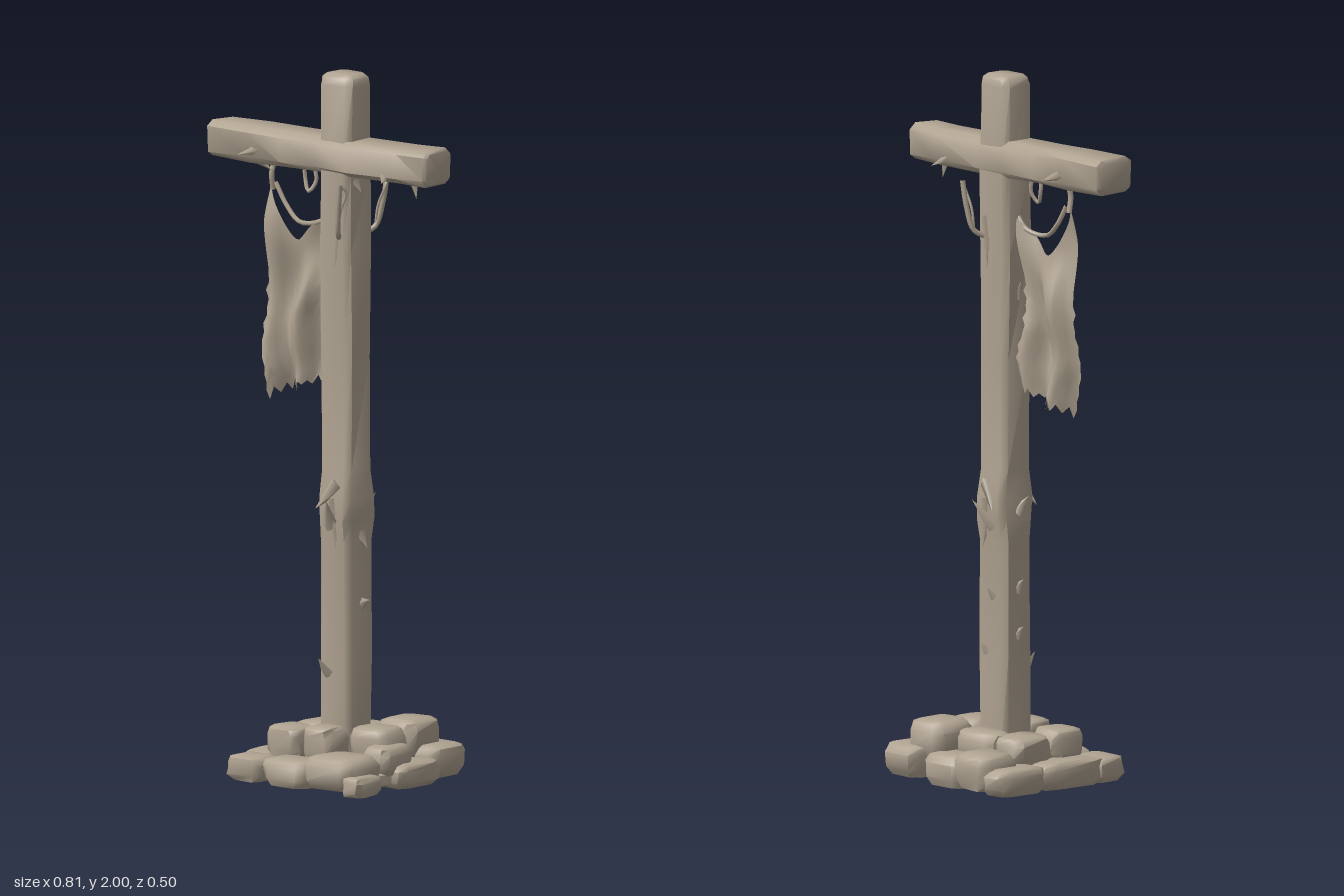
import * as THREE from 'three';
import { toCreasedNormals } from 'three/addons/utils/BufferGeometryUtils.js';

const wood = new THREE.MeshStandardMaterial({ color: 0xb0a391 });
const stone = new THREE.MeshStandardMaterial({ color: 0xb0a391 });
const fabric = new THREE.MeshStandardMaterial({ color: 0xb0a391, side: THREE.DoubleSide });

function seeded(seed) {
  return () => (seed = (seed * 16807) % 2147483647) / 2147483647;
}

// Skin of chamfered rectangles stacked along y; section = [y, centreX, centreZ, halfX, halfZ]
function loft(sections, { cut = 0.3, jitter = 0, seed = 7, crease = 0.9 } = {}) {
  const rnd = seeded(seed), k = 1 - cut, n = 8, pos = [], idx = [];
  const ring = [[1, -k], [1, k], [k, 1], [-k, 1], [-1, k], [-1, -k], [-k, -1], [k, -1]];
  for (const [y, cx, cz, hx, hz] of sections) {
    for (const [u, v] of ring) {
      const wobble = () => (rnd() - 0.5) * jitter;
      pos.push(cx + u * hx + wobble(), y, cz + v * hz + wobble());
    }
  }
  const last = sections.length - 1;
  for (let j = 0; j < last; j++) {
    for (let i = 0; i < n; i++) {
      const a = j * n + i, b = j * n + (i + 1) % n;
      idx.push(a, a + n, b, b, a + n, b + n);
    }
  }
  // End caps
  for (const [j, top] of [[0, false], [last, true]]) {
    const c = pos.length / 3, [y, cx, cz] = sections[j];
    pos.push(cx, y, cz);
    for (let i = 0; i < n; i++) {
      const a = j * n + i, b = j * n + (i + 1) % n;
      idx.push(c, top ? b : a, top ? a : b);
    }
  }
  const g = new THREE.BufferGeometry();
  g.setAttribute('position', new THREE.Float32BufferAttribute(pos, 3));
  g.setIndex(idx);
  return toCreasedNormals(g, crease);
}

function add(parent, name, geometry, material) {
  const mesh = new THREE.Mesh(geometry, material);
  mesh.name = name;
  parent.add(mesh);
  return mesh;
}

// Flattened pointed chip of wood running from one point to another
function splinter(parent, from, to, width) {
  const a = new THREE.Vector3(...from), b = new THREE.Vector3(...to), d = b.clone().sub(a);
  const m = add(parent, 'splinter', new THREE.ConeGeometry(width, d.length(), 4), wood);
  m.scale.z = 0.6;
  m.position.copy(a).lerp(b, 0.5);
  m.quaternion.setFromUnitVectors(new THREE.Vector3(0, 1, 0), d.normalize());
}

function cord(parent, points, radius = 0.006) {
  const curve = new THREE.CatmullRomCurve3(points.map(p => new THREE.Vector3(...p)));
  add(parent, 'cord', new THREE.TubeGeometry(curve, 14, radius, 5), wood);
}

function lerpRows(rows, y) {
  let i = 0;
  while (i < rows.length - 2 && y < rows[i + 1][0]) i++;
  const [a, b] = [rows[i], rows[i + 1]];
  const t = THREE.MathUtils.clamp((a[0] - y) / (a[0] - b[0]), 0, 1);
  return [1, 2].map(k => THREE.MathUtils.lerp(a[k], b[k], t));
}

// Torn hanging sheet with vertical folds, a sagging top and a ragged hem
function clothGeometry() {
  const nu = 18, nv = 26, rnd = seeded(31);
  const rows = [[1.66, -0.215, 0], [1.55, -0.23, -0.01], [1.42, -0.22, -0.035], [1.3, -0.22, -0.05],
    [1.2, -0.225, -0.03], [1.13, -0.205, -0.035], [1.03, -0.19, -0.06]];
  const hem = Array.from({ length: nu + 1 }, (_, i) => 1.05 + 0.04 * i / nu + (i % 2) * 0.03 + rnd() * 0.03);
  const g = new THREE.PlaneGeometry(1, 1, nu, nv), p = g.attributes.position;
  for (let j = 0; j <= nv; j++) {
    for (let i = 0; i <= nu; i++) {
      const u = i / nu, v = j / nv;
      const top = 1.655 - 0.055 * u - 0.28 * u * (1 - u) - 0.05 * Math.sin(Math.PI * u) ** 4;
      const y = THREE.MathUtils.lerp(top, hem[i], v);
      const [l, r] = lerpRows(rows, y);
      let x = THREE.MathUtils.lerp(l, r, u);
      if (v > 0.4 && (i === 0 || i === nu)) x += (i ? 1 : -1) * (j % 2) * 0.014 * rnd();
      const z = 0.03 * Math.sin(u * 10 + v * 2) * (0.35 + 0.65 * v) + 0.012 * Math.sin(v * 9 + u * 4);
      p.setXYZ(j * (nu + 1) + i, x, y, z);
    }
  }
  g.computeVertexNormals();
  return g;
}

export function createModel() {
  const model = new THREE.Group();
  model.name = 'woodenCross';

  // Upright post with a swollen knot
  add(model, 'post', loft([
    [0.02, 0.06, 0, 0.06, 0.056], [0.35, 0.06, 0, 0.059, 0.056], [0.68, 0.06, 0, 0.058, 0.056],
    [0.74, 0.062, 0, 0.06, 0.064], [0.8, 0.062, 0, 0.06, 0.066], [0.88, 0.06, 0, 0.058, 0.054],
    [1.2, 0.058, 0, 0.058, 0.053], [1.5, 0.058, 0, 0.058, 0.055], [1.72, 0.058, 0, 0.058, 0.056],
    [1.97, 0.058, 0, 0.059, 0.052], [1.99, 0.058, 0, 0.055, 0.047], [2, 0.058, 0, 0.044, 0.038],
  ], { jitter: 0.006 }), wood);

  // Crossbar, lofted upright and then laid on its side
  const bar = loft([
    [-0.405, 0.002, 0.003, 0.038, 0.05], [-0.395, 0, 0.003, 0.05, 0.064], [-0.25, 0, 0.003, 0.052, 0.066],
    [-0.13, 0.002, 0.003, 0.05, 0.064], [0, 0.003, 0.004, 0.05, 0.064], [0.12, 0.004, 0.004, 0.051, 0.062],
    [0.3, 0.004, 0.002, 0.05, 0.06], [0.395, 0.002, 0.002, 0.05, 0.06], [0.405, 0.002, 0.002, 0.042, 0.05],
  ], { jitter: 0.006, seed: 19 });
  bar.rotateZ(-Math.PI / 2).translate(0, 1.77, 0);
  add(model, 'crossbar', bar, wood);

  // Chips and barbs, front and back
  const chips = new THREE.Group();
  chips.name = 'splinters';
  model.add(chips);
  for (const s of [1, -1]) {
    splinter(chips, [-0.225, 1.755, s * 0.055], [-0.235, 1.75, s * 0.125], 0.024);
    splinter(chips, [0.05, 0.72, s * 0.05], [0.08, 0.8, s * 0.105], 0.035);
    splinter(chips, [0.08, 0.84, s * 0.05], [0.02, 0.77, s * 0.085], 0.03);
    splinter(chips, [0.06, 0.8, s * 0.055], [0.08, 0.66, s * 0.065], 0.025);
    splinter(chips, [0.08, 1.6, s * 0.045], [0.07, 1.45, s * 0.06], 0.02);
    splinter(chips, [0.25, 1.74, s * 0.05], [0.27, 1.72, s * 0.09], 0.018);
  }
  for (const [x, y, z, dx, dy, dz, w] of [
    [0.11, 0.7, 0, 0.03, -0.04, 0, 0.025], [0.11, 0.5, 0, 0.04, 0.015, 0, 0.022],
    [0.01, 0.54, 0, -0.03, 0.035, 0, 0.022], [0.01, 0.41, 0, -0.03, 0.03, 0, 0.022],
    [0.01, 0.76, 0, -0.03, 0.05, 0.02, 0.025], [0.01, 1.37, 0, -0.02, 0.05, 0, 0.02],
    [0.04, 0.3, 0.05, 0, 0.05, 0.045, 0.025], [0.05, 0.52, -0.05, 0, 0.03, -0.025, 0.02],
    [0.08, 0.36, -0.05, 0, 0.03, -0.02, 0.02], [0.31, 1.73, 0, 0.012, -0.06, 0, 0.02],
    [-0.24, 1.73, 0.03, 0.05, -0.03, 0, 0.02], [0.11, 1.7, 0.02, 0.025, -0.03, 0, 0.02],
  ]) splinter(chips, [x, y, z], [x + dx, y + dy, z + dz], w);

  // Cords hanging around the post and bar
  const cords = new THREE.Group();
  cords.name = 'cords';
  model.add(cords);
  for (const s of [1, -1]) {
    cord(cords, [[0.125, 1.7, s * 0.1], [0.115, 1.63, s * 0.095], [0.1, 1.56, s * 0.08], [0.08, 1.54, s * 0.05]], 0.008);
    cord(cords, [[0.125, 1.7, s * 0.1], [0.135, 1.68, s * 0.085], [0.11, 1.62, s * 0.08], [0.1, 1.56, s * 0.08]], 0.004);
  }
  cord(cords, [[-0.2, 1.73, 0], [-0.205, 1.69, 0.01], [-0.21, 1.64, 0]], 0.008);
  cord(cords, [[-0.2, 1.66, 0], [-0.16, 1.6, 0], [-0.1, 1.56, 0.01], [-0.03, 1.57, 0], [0.01, 1.61, 0]], 0.007);
  cord(cords, [[-0.095, 1.73, 0], [-0.09, 1.68, 0], [-0.07, 1.65, 0.01], [-0.05, 1.68, 0], [-0.06, 1.73, 0]]);

  add(model, 'tornCloth', clothGeometry(), fabric);

  // Heap of stones: [xMin, xMax, yMin, yMax, zMin, zMax]
  const heap = new THREE.Group();
  heap.name = 'stoneBase';
  model.add(heap);
  [
    [-0.16, 0.28, 0, 0.06, -0.19, 0.19],
    [-0.195, -0.09, 0, 0.075, -0.23, -0.06], [-0.13, 0.01, 0.01, 0.11, -0.25, -0.11],
    [0, 0.15, 0, 0.09, -0.235, -0.1], [0.16, 0.31, 0.01, 0.1, -0.25, -0.09],
    [0.22, 0.32, 0, 0.07, -0.12, 0.06], [-0.195, -0.09, 0, 0.075, -0.07, 0.16],
    [-0.19, -0.06, 0, 0.07, 0.12, 0.237], [-0.06, 0.11, 0, 0.075, 0.11, 0.24],
    [0.1, 0.28, 0.01, 0.1, 0.08, 0.248], [0.25, 0.32, 0, 0.055, 0.13, 0.248],
    [0.2, 0.29, 0.04, 0.12, -0.03, 0.1], [-0.12, 0, 0.06, 0.15, 0.03, 0.15],
    [0.01, 0.12, 0.06, 0.16, 0.04, 0.138], [-0.13, -0.01, 0.06, 0.145, -0.12, 0.02],
    [0.11, 0.245, 0.06, 0.17, -0.21, -0.06], [-0.04, 0.12, 0.06, 0.15, -0.14, -0.04],
    [0.11, 0.25, 0.06, 0.16, -0.06, 0.06],
  ].forEach(([x0, x1, y0, y1, z0, z1], i) => {
    const cx = (x0 + x1) / 2, cz = (z0 + z1) / 2, hx = (x1 - x0) / 2, hz = (z1 - z0) / 2, h = y1 - y0;
    const rings = [[0, 0.82], [0.25, 0.98], [0.72, 1], [0.92, 0.88], [1, 0.68]];
    add(heap, 'stone', loft(rings.map(([t, s]) => [y0 + t * h, cx, cz, hx * s, hz * s]),
      { cut: 0.35, jitter: 0.012, seed: 101 + i * 37, crease: 1 }), stone);
  });
  return model;
}
